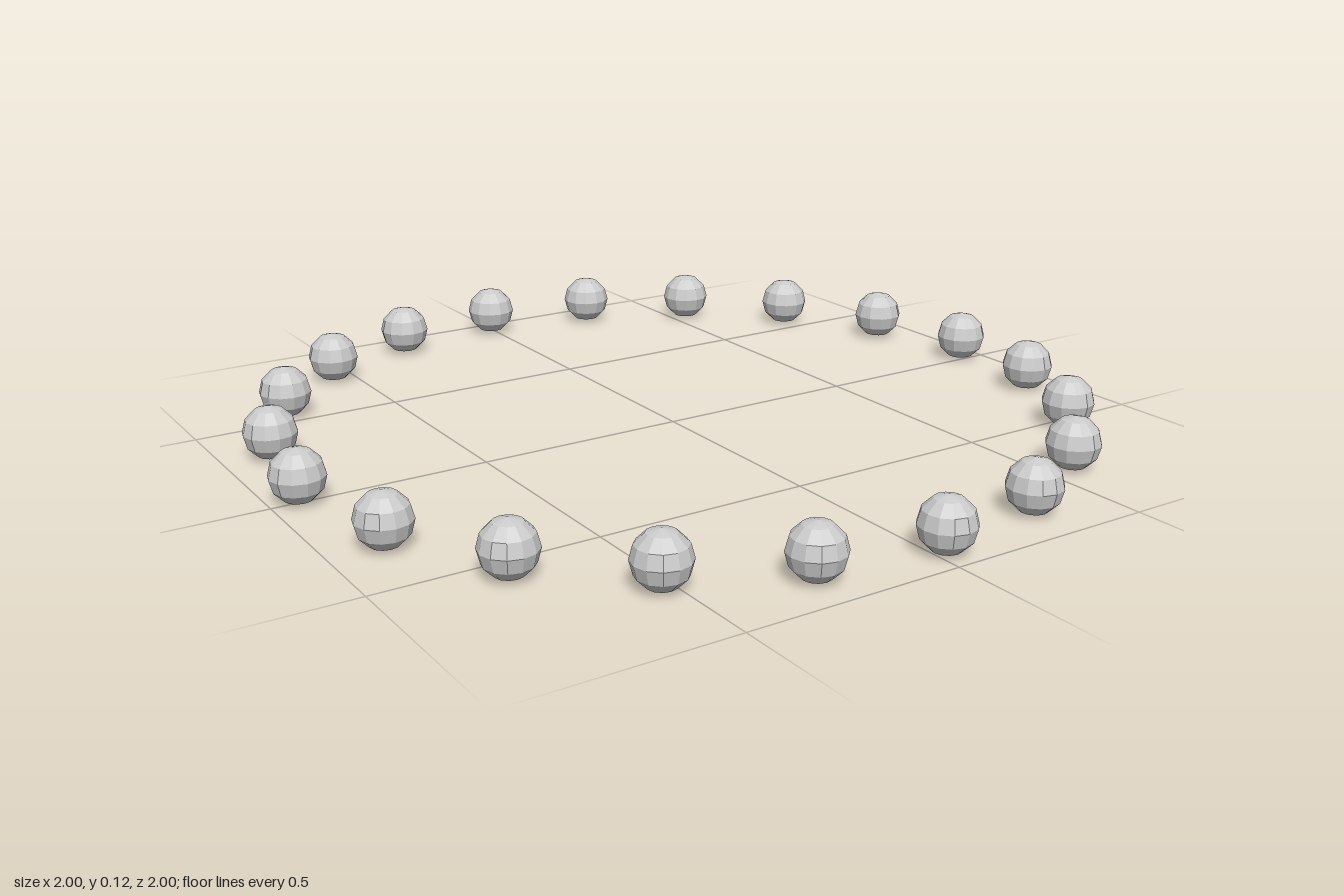
import * as THREE from 'three';

export function createModel() {
  const group = new THREE.Group();
  group.name = 'beadRing';
  const material = new THREE.MeshStandardMaterial({ color: 0xcccccc, flatShading: true });

  const count = 20;
  const step = 0.3125; // radians between beads, leaving a slightly wider last gap
  const ringRadius = 0.9375;
  const beadRadius = 0.0625;
  const geometry = new THREE.SphereGeometry(beadRadius, 12, 6);

  // Beads set around a horizontal circle, starting at the -x side
  for (let i = 0; i < count; i++) {
    const a = i * step;
    const bead = new THREE.Mesh(geometry, material);
    bead.name = `bead${i + 1}`;
    bead.position.set(-ringRadius * Math.cos(a), beadRadius, -ringRadius * Math.sin(a));
    group.add(bead);
  }
  return group;
}
